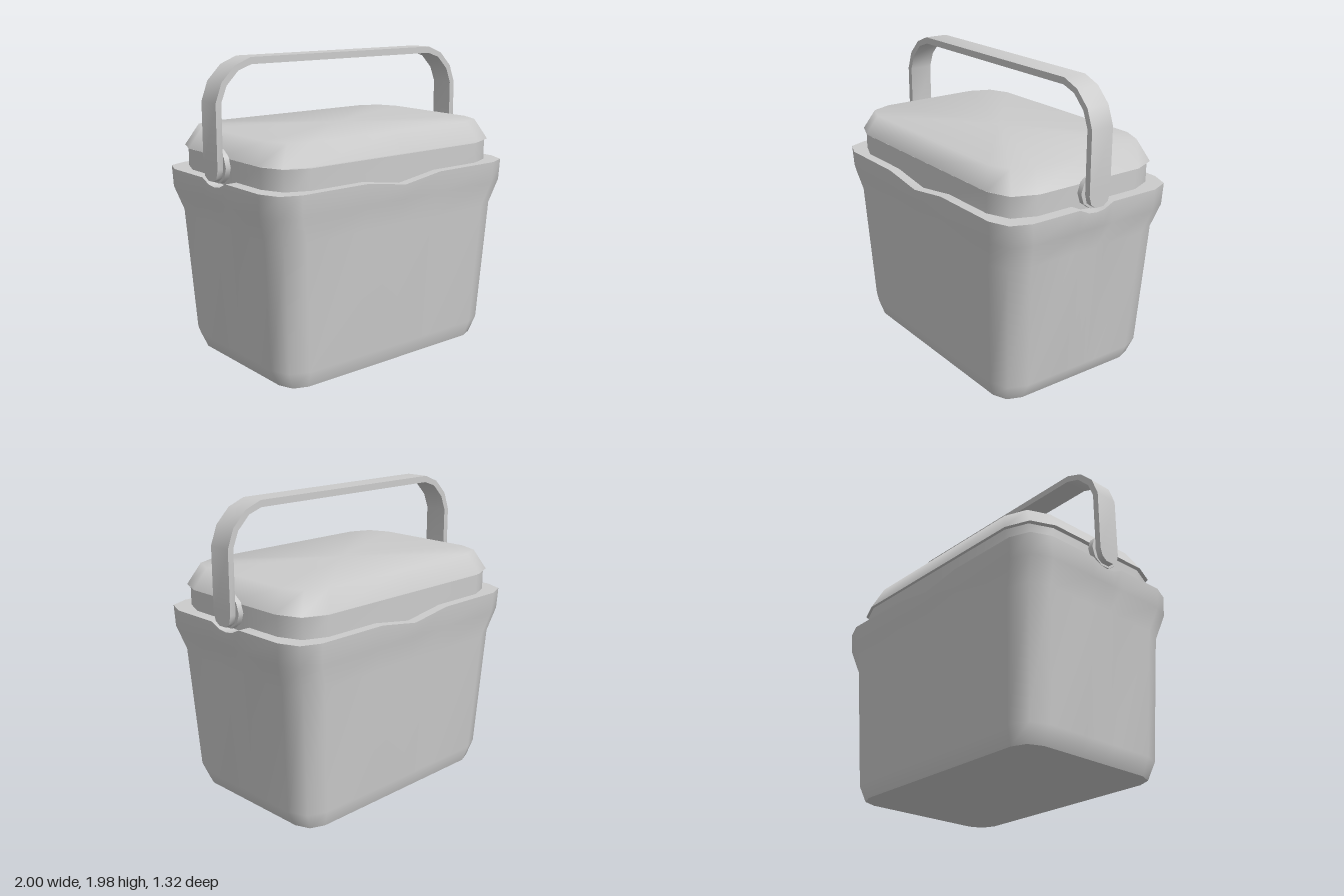
import * as THREE from 'three';
import { toCreasedNormals } from 'three/addons/utils/BufferGeometryUtils.js';

const material = new THREE.MeshStandardMaterial({ color: 0xcccccc });

// Rectangle with rounded corners in plan; yAt gives the height of each point
function section(hx, hz, r, y, dips = false) {
  const k = r * 0.29;
  let q = [[hx, hz - r], [hx - k, hz - k], [hx - r, hz]];
  if (dips) q = [[hx, 0.06], [hx, 0.13], ...q, [0.3, hz]];
  q = [[hx, 0], ...q, [0, hz]];
  const rev = [...q].reverse();
  const yAt = typeof y === 'function' ? y : () => y;
  return [
    ...q,
    ...rev.slice(1).map(([x, z]) => [-x, z]),
    ...q.slice(1).map(([x, z]) => [-x, -z]),
    ...rev.slice(1, -1).map(([x, z]) => [x, -z]),
  ].map(([x, z]) => [x, yAt(x, z), z]);
}

// Skin over equal-length rings, optionally closed with fans at either end
function loft(rings, { bottom = false, top = false } = {}) {
  const n = rings[0].length, pos = rings.flat(2), index = [];
  for (let i = 0; i < rings.length - 1; i++) {
    for (let j = 0; j < n; j++) {
      const a = i * n + j, b = i * n + (j + 1) % n;
      index.push(a, a + n, b, b, a + n, b + n);
    }
  }
  const cap = (row, flip) => {
    const c = pos.length / 3;
    pos.push(...[0, 1, 2].map(k => rings[row].reduce((s, p) => s + p[k], 0) / n));
    for (let j = 0; j < n; j++) {
      const a = row * n + j, b = row * n + (j + 1) % n;
      index.push(c, ...(flip ? [a, b] : [b, a]));
    }
  };
  if (bottom) cap(0, true);
  if (top) cap(rings.length - 1, false);
  const g = new THREE.BufferGeometry();
  g.setAttribute('position', new THREE.Float32BufferAttribute(pos, 3));
  g.setIndex(index);
  g.computeVertexNormals();
  return g;
}

export function createModel() {
  const group = new THREE.Group();
  const add = (name, geometry) => {
    const mesh = new THREE.Mesh(geometry, material);
    mesh.name = name;
    group.add(mesh);
    return mesh;
  };

  // Rim height: shallow dips in the middle of every side
  const rimY = (x, z) => {
    if (Math.abs(x) < 0.01) return 1.195;
    if (Math.abs(z) < 0.01) return 1.2;
    return Math.abs(z) < 0.07 ? 1.207 : 1.24;
  };

  // Tapered tub with a flared top
  const outerRim = section(0.98, 0.66, 0.18, rimY, true);
  add('body', loft([
    section(0.81, 0.545, 0.13, 0, true),
    section(0.865, 0.58, 0.17, 0.11, true),
    section(0.92, 0.62, 0.18, 0.94, true),
    section(0.975, 0.652, 0.18, 1.1, true),
    outerRim,
  ]));
  add('base', loft([section(0.81, 0.545, 0.13, 0), section(0.81, 0.545, 0.13, 0.002)], { bottom: true }));
  add('rim', loft([outerRim, section(0.88, 0.58, 0.18, rimY, true)]));

  // Neck below the lid, and the lid itself
  const neck = [1.15, 1.372].map(y => section(0.9, 0.595, 0.21, y));
  add('neck', toCreasedNormals(loft(neck, { top: true }), 0.9));
  const lidEdge = section(0.922, 0.607, 0.22, 1.38);
  add('lid', loft([lidEdge, section(0.84, 0.55, 0.2, 1.515)], { top: true }));
  add('lidUnderside', loft([lidEdge, lidEdge], { bottom: true }));

  // Carrying handle: outer x, y, inner x, y, half width; mirrored across x
  const half = [
    [1, 1.24, 0.96, 1.24, 0.03],
    [1, 1.265, 0.96, 1.265, 0.065],
    [1, 1.32, 0.96, 1.32, 0.08],
    [1, 1.72, 0.96, 1.72, 0.08],
    [0.955, 1.84, 0.92, 1.82, 0.08],
    [0.86, 1.935, 0.835, 1.905, 0.08],
    [0.745, 1.98, 0.74, 1.937, 0.08],
  ];
  const mirrored = [...half].reverse().map(([a, b, c, d, w]) => [-a, b, -c, d, w]);
  const handleRings = [...half, ...mirrored].map(([xo, yo, xi, yi, w]) =>
    [[xo, yo, -w], [xo, yo, w], [xi, yi, w], [xi, yi, -w]]);
  add('handle', toCreasedNormals(loft(handleRings, { bottom: true, top: true }), 0.7));

  // Pivots on both sides
  for (const side of [1, -1]) {
    const round = (name, r, length, x) => {
      const m = add(name, new THREE.CylinderGeometry(r, r, length, 10));
      m.rotation.z = Math.PI / 2;
      m.position.set(side * x, 1.33, 0);
    };
    round('pivotDisc', 0.11, 0.035, 0.9425);
    round('pivotPin', 0.05, 0.08, 0.905);
  }
  return group;
}
